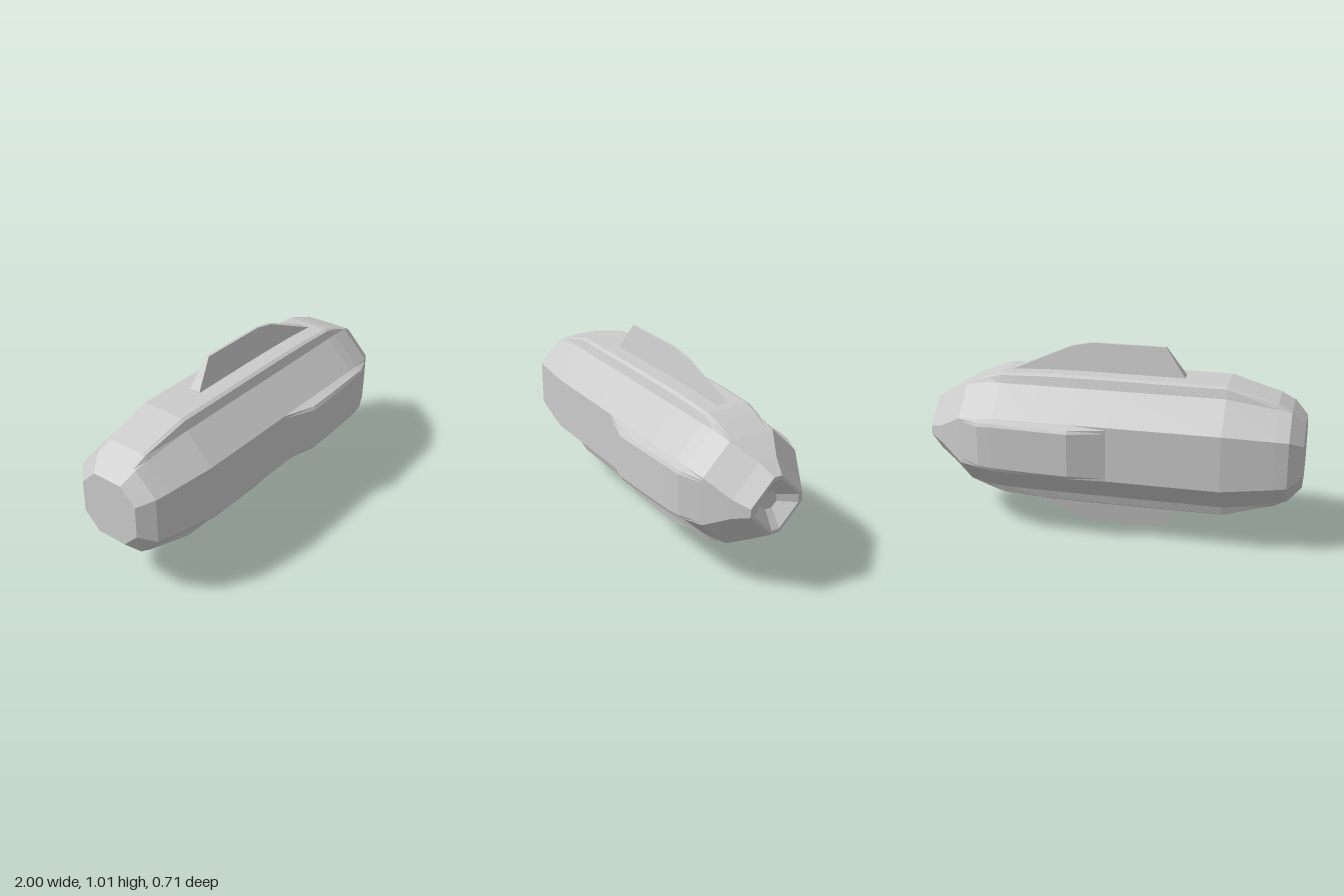
import * as THREE from 'three';

const CY = 0.51; // height of the long axis

// Cross-sections along x: [x, half size, half facet width, top/bottom raise, side raise]
const HULL = [
  [-1.0, 0.0, 0.0, 0, 0],
  [-1.0, 0.17, 0.085, 0, 0],
  [-0.93, 0.24, 0.122, 0, 0],
  [-0.86, 0.255, 0.128, 0.026, 0],
  [-0.6, 0.297, 0.147, 0.057, 0],
  [-0.01, 0.297, 0.147, 0.06, 0],
  [0.18, 0.297, 0.147, 0.06, 0.058],
  [0.38, 0.297, 0.147, 0.057, 0.052],
  [0.6, 0.295, 0.145, 0.048, 0.042],
  [0.67, 0.29, 0.138, 0.032, 0.04],
  [0.79, 0.272, 0.125, 0, 0],
  [0.92, 0.2, 0.05, 0, 0],
  [1.0, 0.15, 0.022, 0, 0],
  // recessed nose opening
  [1.0, 0.13, 0.022, 0, 0],
  [0.94, 0.045, 0.019, 0, 0],
  [0.94, 0.0, 0.0, 0, 0],
];

// One ring: an octagon whose four axis facets carry a raised, bevelled panel
function ring([x, s, h, topRaise, sideRaise]) {
  const points = [];
  for (let k = 0; k < 4; k++) {
    const r = k % 2 ? sideRaise : topRaise;
    const c = Math.cos(k * Math.PI / 2), n = Math.sin(k * Math.PI / 2);
    const profile = [[-1, 0], [-0.9, 0.82], [-0.78, 1], [0.78, 1], [0.9, 0.82], [1, 0]];
    for (const [w, lift] of profile) {
      const u = w * h, out = s + r * lift;
      points.push([x, CY + out * c - u * n, out * n + u * c]);
    }
  }
  return points;
}

// Skin consecutive rings with flat faces
function loft(sections) {
  const rings = sections.map(ring), pos = [];
  for (let i = 0; i < rings.length - 1; i++) {
    const A = rings[i], B = rings[i + 1], n = A.length;
    for (let j = 0; j < n; j++) {
      const k = (j + 1) % n;
      pos.push(...A[j], ...A[k], ...B[k], ...A[j], ...B[k], ...B[j]);
    }
  }
  const geo = new THREE.BufferGeometry();
  geo.setAttribute('position', new THREE.Float32BufferAttribute(pos, 3));
  geo.computeVertexNormals();
  return geo;
}

// Fin outline, extruded and thinned towards the tip
function finGeometry() {
  const outline = [[-0.37, 0.28], [0.56, 0.28], [0.56, 0.345], [0.24, 0.485], [0.13, 0.507], [-0.265, 0.507], [-0.37, 0.357]];
  const shape = new THREE.Shape(outline.map(([x, y]) => new THREE.Vector2(x, y)));
  const geo = new THREE.ExtrudeGeometry(shape, { depth: 2, bevelEnabled: false });
  geo.translate(0, 0, -1);
  const p = geo.attributes.position;
  for (let i = 0; i < p.count; i++) {
    const t = (p.getY(i) - 0.345) / (0.507 - 0.345);
    p.setZ(i, p.getZ(i) * THREE.MathUtils.lerp(0.033, 0.007, t));
  }
  geo.computeVertexNormals();
  return geo;
}

export function createModel() {
  const group = new THREE.Group();
  group.name = 'finnedPod';
  const material = new THREE.MeshStandardMaterial({ color: 0xcccccc, flatShading: true });

  const hull = new THREE.Mesh(loft(HULL), material);
  hull.name = 'hull';
  group.add(hull);

  // Matching fins above and below
  const geo = finGeometry();
  for (const [name, turn] of [['topFin', 0], ['bottomFin', Math.PI]]) {
    const fin = new THREE.Mesh(geo, material);
    fin.name = name;
    fin.position.y = CY;
    fin.rotation.x = turn;
    group.add(fin);
  }
  return group;
}
